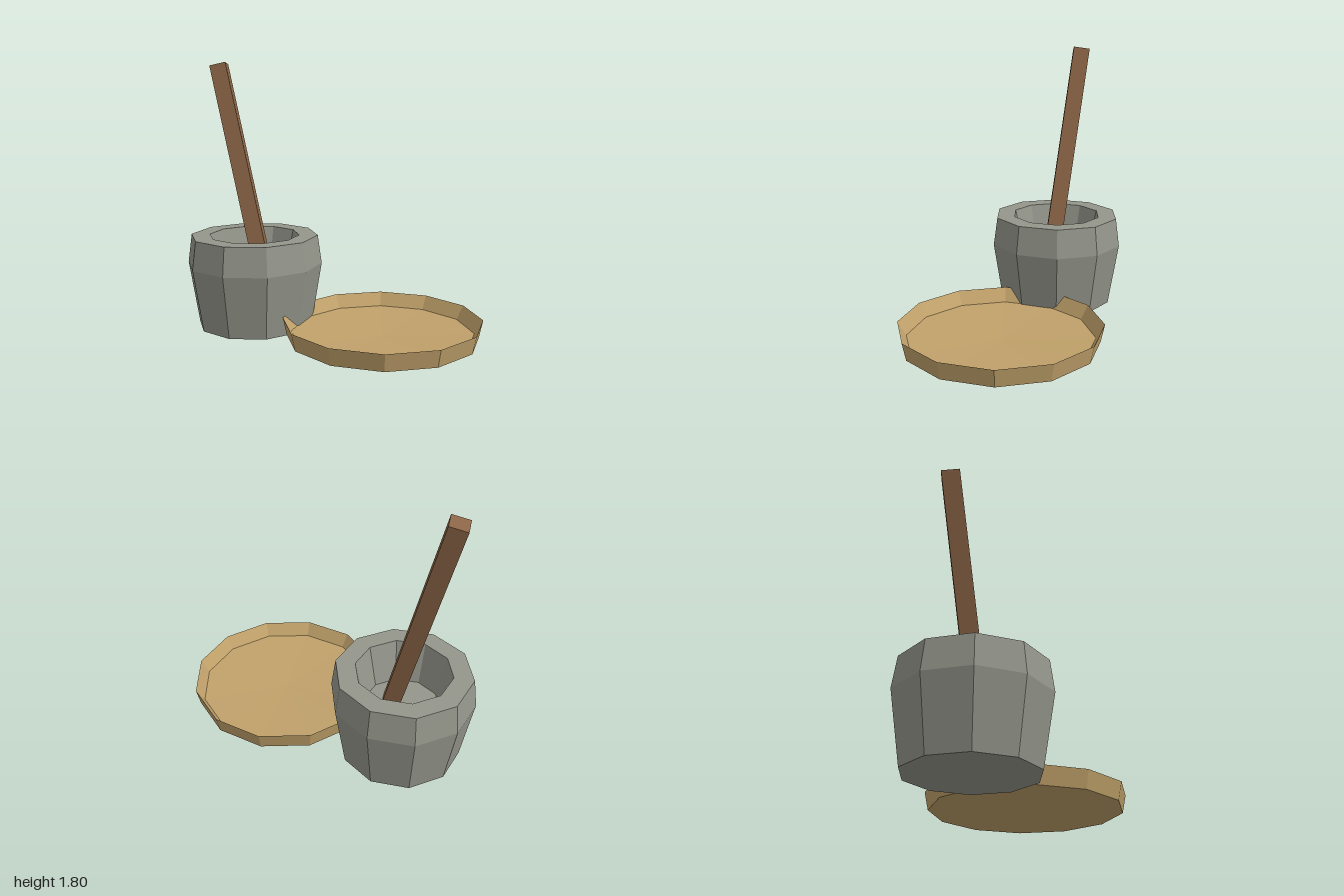
import * as THREE from 'three';

const flat = (name, color) => {
  const m = new THREE.MeshStandardMaterial({ color, flatShading: true });
  m.name = name;
  return m;
};

// Faceted turned part, with a corner on the +x axis
function turned(name, profile, sides, material, x, z) {
  const points = profile.map(([r, y]) => new THREE.Vector2(r, y));
  const mesh = new THREE.Mesh(new THREE.LatheGeometry(points, sides, Math.PI / 2), material);
  mesh.name = name;
  mesh.position.set(x, 0, z);
  return mesh;
}

export function createModel() {
  const stone = flat('grey stone', 0x94968b);
  const wood = flat('brown wood', 0x8b6546);
  const straw = flat('straw', 0xc0a16a);
  const model = new THREE.Group();
  model.name = 'mortarAndTray';

  // Stone mortar: outer wall, rim, hollow and inner floor
  model.add(turned('mortar', [
    [0, 0], [0.395, 0], [0.465, 0.43], [0.438, 0.625],
    [0.31, 0.625], [0.245, 0.35], [0, 0.35],
  ], 10, stone, -0.535, -0.285));

  // Shallow tray: slightly conical base, sharp rim and dished floor
  model.add(turned('tray', [
    [0, 0], [0.625, 0.03], [0.65, 0.145], [0.595, 0.055], [0, 0.03],
  ], 12, straw, 0.345, 0.07));

  // Square pestle leaning out of the mortar
  const top = new THREE.Vector3(-0.79, 1.782, -0.456);
  const foot = new THREE.Vector3(-0.458, 0.32, -0.248);
  const axis = top.clone().sub(foot);
  const pestle = new THREE.Mesh(new THREE.BoxGeometry(0.112, axis.length(), 0.112), wood);
  pestle.name = 'pestle';
  pestle.position.copy(top).add(foot).multiplyScalar(0.5);
  pestle.quaternion.setFromUnitVectors(new THREE.Vector3(0, 1, 0), axis.normalize());
  model.add(pestle);

  return model;
}
